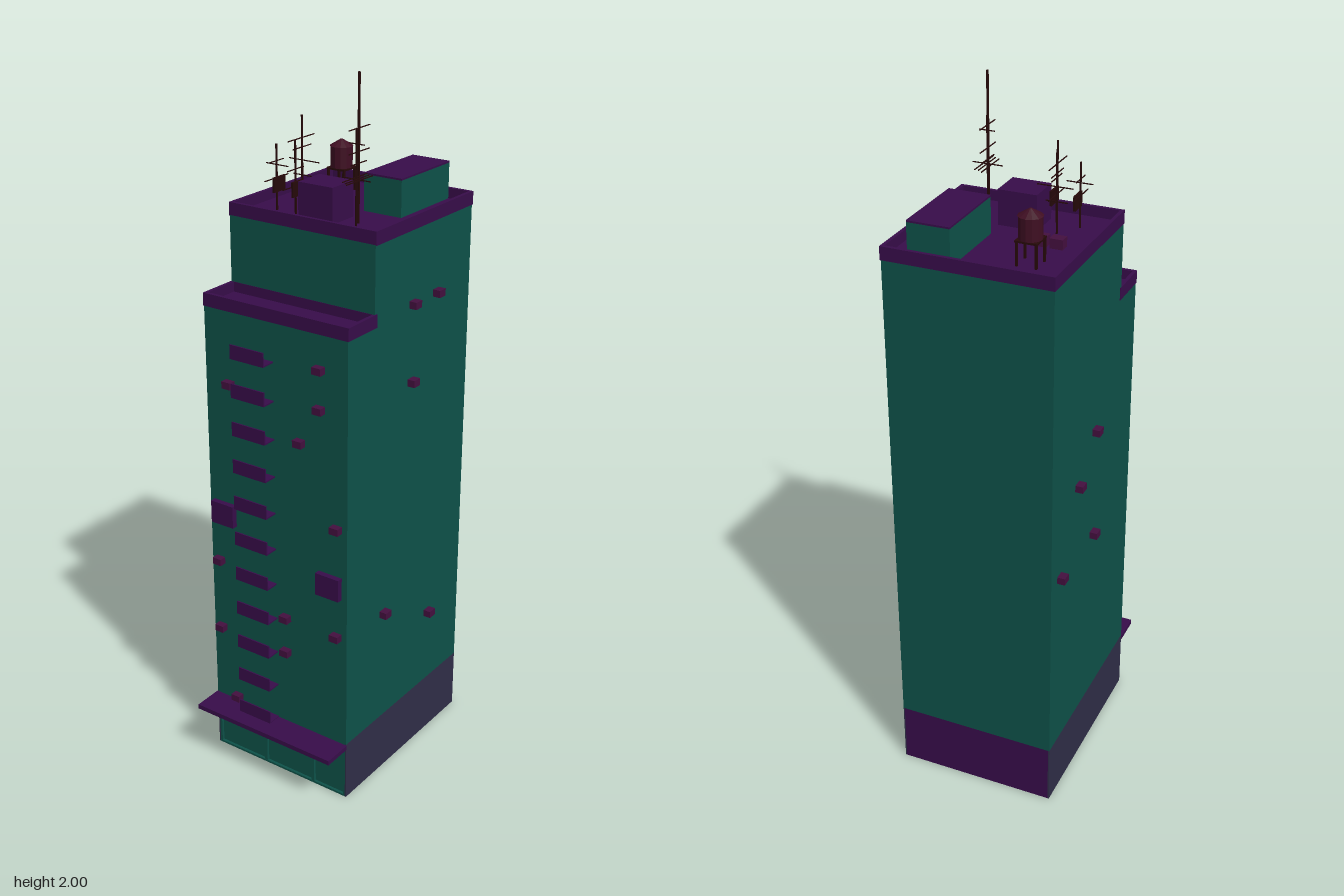
import * as THREE from 'three';

export function createModel() {
  const model = new THREE.Group();
  model.name = 'apartmentTower';

  const mat = (name, color, side = THREE.FrontSide) => {
    const m = new THREE.MeshStandardMaterial({ color, side });
    m.name = name;
    return m;
  };
  const teal = mat('tealWall', 0x0e5249);
  const purple = mat('purpleTrim', 0x380d4a);
  const slate = mat('slateBase', 0x302e48);
  const plum = mat('plumUnits', 0x44103f);
  const maroon = mat('maroonTank', 0x3f0e22);
  const iron = mat('darkIron', 0x260909);

  // Box given by its min and max corners
  function box(name, material, x0, x1, y0, y1, z0, z1, parent = model) {
    const mesh = new THREE.Mesh(new THREE.BoxGeometry(x1 - x0, y1 - y0, z1 - z0), material);
    mesh.position.set((x0 + x1) / 2, (y0 + y1) / 2, (z0 + z1) / 2);
    mesh.name = name;
    parent.add(mesh);
    return mesh;
  }
  function group(name) {
    const g = new THREE.Group();
    g.name = name;
    model.add(g);
    return g;
  }

  const W = 0.232, BACK = -0.335, FRONT = 0.247, STEP = 0.13, BASE = 0.18;

  // Main volumes
  box('tallBlock', teal, -W, W, BASE, 1.607, BACK, STEP);
  box('frontBlock', teal, -W, W, BASE, 1.39, STEP, FRONT);

  // Hollow ground floor: slate sides, purple back, shopfront
  const t = 0.004;
  for (const s of [-1, 1]) {
    const x = s * (W - t / 2);
    box('baseSide', slate, x - t / 2, x + t / 2, 0, BASE, BACK, FRONT);
  }
  box('baseBack', purple, -W + t, W - t, 0, BASE, BACK, BACK + t);
  const shop = group('shopfront');
  box('shopGlazing', teal, -W + t, W - t, 0, 0.122, FRONT - 0.012, FRONT - 0.008, shop);
  box('shopFascia', teal, -W + t, W - t, 0.122, BASE, FRONT - 0.012, FRONT, shop);
  box('shopSill', teal, -W + t, W - t, 0, 0.006, FRONT - 0.008, FRONT, shop);
  for (const x of [-0.226, -0.055, 0.115, 0.226]) {
    box('shopPost', teal, x - 0.005, x + 0.005, 0.006, 0.122, FRONT - 0.008, FRONT - 0.0005, shop);
  }
  box('canopy', purple, -W - 0.002, W + 0.002, 0.164, 0.178, FRONT, 0.335);

  // Parapet frame around each roof, with a sunken floor
  function parapet(name, y0, y1, z0, z1) {
    const o = W + 0.002, i = W - 0.008, w = 0.01;
    const rect = (P, a, b, c) => {
      const p = new P();
      p.moveTo(-a, b); p.lineTo(a, b); p.lineTo(a, c); p.lineTo(-a, c); p.closePath();
      return p;
    };
    const shape = rect(THREE.Shape, o, -z1, -z0);
    shape.holes.push(rect(THREE.Path, i, -z1 + w, -z0 - w));
    const geo = new THREE.ExtrudeGeometry(shape, { depth: y1 - y0, bevelEnabled: false });
    geo.rotateX(-Math.PI / 2);
    const mesh = new THREE.Mesh(geo, purple);
    mesh.position.y = y0;
    mesh.name = name;
    model.add(mesh);
    box(name + 'Floor', purple, -i, i, y0, y0 + 0.008, z0 + w, z1 - w);
  }
  parapet('upperParapet', 1.605, 1.642, BACK - 0.002, STEP);
  parapet('lowerParapet', 1.388, 1.424, STEP - 0.009, FRONT + 0.001);

  // Balconies: slab and front rail, open at the ends
  const balconies = group('balconies');
  for (let i = 0; i < 11; i++) {
    const y = 0.177 + i * 0.11;
    box('balconySlab', purple, -0.115, -0.005, y, y + 0.004, FRONT, 0.288, balconies);
    box('balconyRail', purple, -0.115, -0.005, y, y + 0.04, 0.285, 0.289, balconies);
  }

  // Projecting square sign boxes
  for (const [x, y] of [[-0.18, 0.79], [0.177, 0.677]]) {
    box('signBox', purple, x - 0.038, x + 0.038, y - 0.033, y + 0.033, FRONT, 0.264);
  }

  // Air conditioners on the front and both sides
  const units = group('airConditioners');
  const frontUnits = [[0.147, 1.295], [0.147, 1.185], [0.083, 1.075], [0.201, 0.855], [-0.15, 1.185],
    [-0.202, 0.635], [0.03, 0.525], [0.201, 0.525], [0.03, 0.415], [-0.202, 0.415], [-0.15, 0.195]];
  for (const [x, y] of frontUnits) {
    box('frontUnit', plum, x - 0.014, x + 0.014, y - 0.01, y + 0.01, FRONT, 0.268, units);
  }
  const sideUnits = [[1, -0.045, 1.405], [1, -0.162, 1.405], [1, -0.045, 1.185], [1, 0.073, 0.525],
    [1, -0.162, 0.415], [-1, -0.045, 1.075], [-1, -0.162, 0.965], [-1, -0.045, 0.745], [-1, -0.28, 0.745]];
  for (const [s, z, y] of sideUnits) {
    const x = s * (W + 0.011);
    box('sideUnit', plum, x - 0.011, x + 0.011, y - 0.01, y + 0.01, z - 0.014, z + 0.014, units);
  }

  // Roof houses and vents
  const R = 1.61;
  box('stairHouse', teal, 0.046, 0.163, R, 1.712, -0.325, -0.09);
  box('stairHouseRoof', purple, 0.046, 0.163, 1.712, 1.717, -0.325, -0.09);
  box('liftHouse', purple, -0.055, 0.054, R, 1.71, -0.03, 0.065);
  for (const x of [-0.145, -0.1]) box('roofUnit', plum, x - 0.018, x + 0.018, R, 1.64, -0.119, -0.09);

  // Water tank on legs
  const tank = group('waterTank');
  tank.position.set(-0.122, 0, -0.225);
  const drum = new THREE.CylinderGeometry(0.031, 0.031, 0.06, 12);
  const lid = new THREE.CylinderGeometry(0.003, 0.033, 0.018, 12);
  for (const [name, geo, y] of [['tankDrum', drum, 1.71], ['tankLid', lid, 1.748]]) {
    const flat = geo.toNonIndexed();
    flat.computeVertexNormals();
    const mesh = new THREE.Mesh(flat, maroon);
    mesh.position.y = y;
    mesh.name = name;
    tank.add(mesh);
  }
  box('tankDeck', iron, -0.03, 0.03, 1.675, 1.68, -0.03, 0.03, tank);
  for (const x of [-0.026, 0.026]) for (const z of [-0.026, 0.026]) {
    box('tankLeg', iron, x - 0.003, x + 0.003, R, 1.676, z - 0.003, z + 0.003, tank);
  }

  // Antennas: mast plus thin bars [direction, centre offset x, y, centre offset z, length]
  function antenna(x, z, top, thick, bars) {
    const g = group('antenna');
    g.position.set(x, 0, z);
    const h = thick / 2, b = 0.0012;
    box('mast', iron, -h, h, R, top, -h, h, g);
    for (const [dir, dx, y, dz, len] of bars) {
      const lx = dir === 'x' ? len / 2 : b, lz = dir === 'z' ? len / 2 : b;
      box('antennaBar', iron, dx - lx, dx + lx, y - b, y + b, dz - lz, dz + lz, g);
    }
    return g;
  }
  antenna(-0.108, -0.025, 1.86, 0.004, [['x', 0.005, 1.74, -0.002, 0.098], ['z', 0, 1.80, 0.003, 0.115],
    ['z', 0, 1.775, 0, 0.08], ['x', 0, 1.70, -0.002, 0.06]]);
  const west = antenna(-0.147, 0.035, 1.79, 0.004,
    [['x', 0.002, 1.735, 0, 0.072], ['z', 0, 1.70, 0.001, 0.102], ['z', 0, 1.745, 0, 0.06]]);
  const east = antenna(-0.078, 0.045, 1.81, 0.004,
    [['z', 0, 1.69, 0, 0.108], ['z', 0, 1.735, 0, 0.07]]);
  for (const g of [west, east]) box('dishPanel', iron, 0.004, 0.01, 1.665, 1.705, -0.024, 0.024, g);
  antenna(0.1, 0.015, 2.0, 0.005, [['z', 0, 1.86, -0.003, 0.093], ['z', 0, 1.80, -0.003, 0.093],
    ['z', 0, 1.77, 0, 0.07]]);
  antenna(0.121, 0.055, 1.87, 0.004, [['x', 0, 1.74, 0, 0.087], ['x', 0.001, 1.83, 0, 0.045],
    ['z', -0.012, 1.74, -0.01, 0.11], ['z', 0.001, 1.74, -0.002, 0.106], ['z', 0.012, 1.74, 0.004, 0.116]]);

  return model;
}
